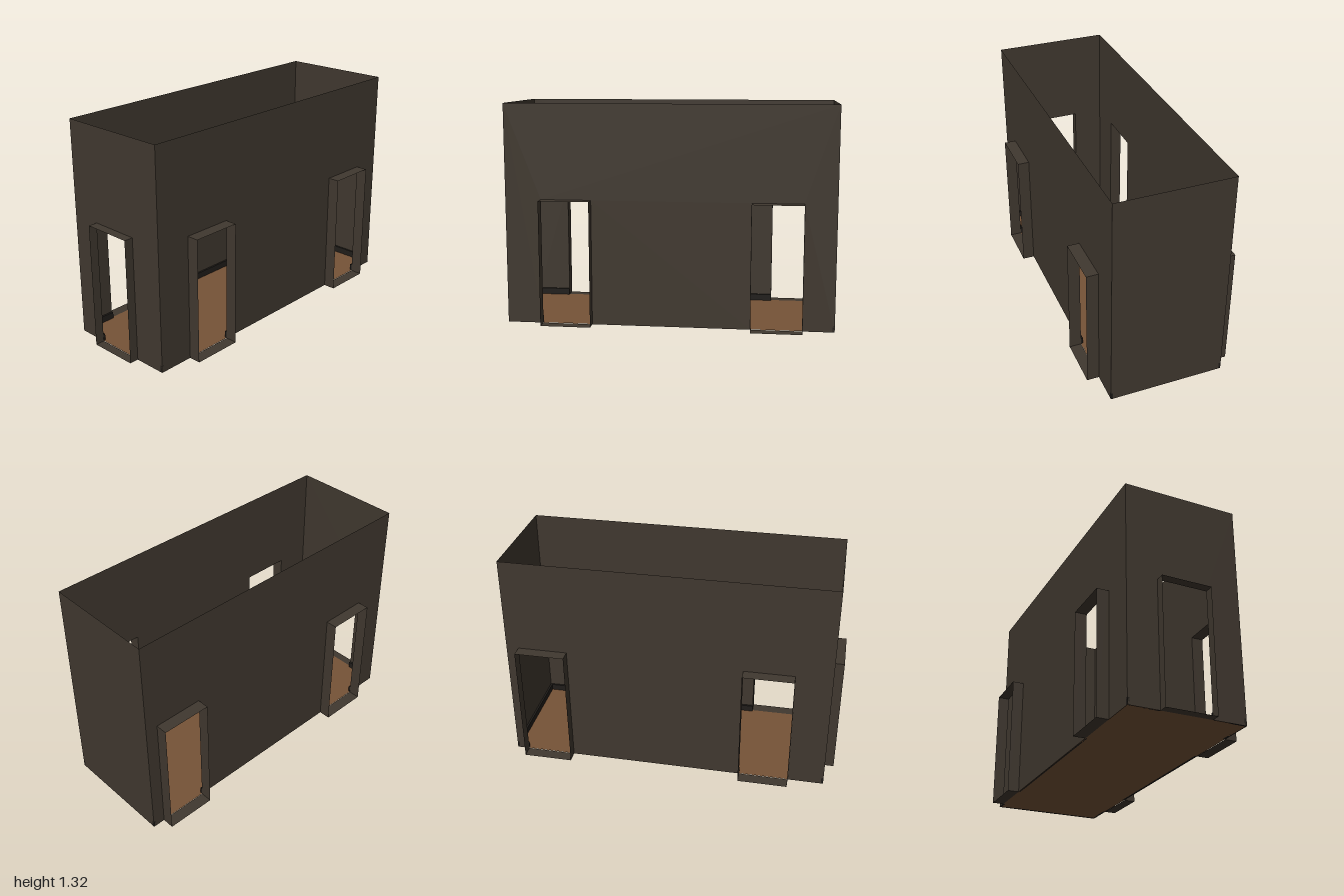
import * as THREE from 'three';

const wallMat = new THREE.MeshStandardMaterial({ color: 0x40382f, side: THREE.DoubleSide });
wallMat.name = 'dark plaster';
const floorMat = new THREE.MeshStandardMaterial({ color: 0x765337, side: THREE.DoubleSide });
floorMat.name = 'brown floor';
const trimMat = new THREE.MeshStandardMaterial({ color: 0x201d1a });
trimMat.name = 'black trim';

const HEIGHT = 1.315, DOOR_H = 0.75, X0 = -0.945, X1 = 1, Z = 0.343;
const SKIRT_H = 0.04, SKIRT_T = 0.012;

function add(parent, name, geo, mat, x = 0, y = 0, z = 0) {
  const mesh = new THREE.Mesh(geo, mat);
  mesh.name = name;
  mesh.position.set(x, y, z);
  parent.add(mesh);
  return mesh;
}

// Open square sleeve standing out from the wall around a doorway
function doorFrame(parent, a, b, dist, depth) {
  const frame = new THREE.Group();
  frame.name = 'doorFrame';
  parent.add(frame);
  const zc = dist + depth / 2;
  for (const x of [a, b]) {
    add(frame, 'doorJamb', new THREE.PlaneGeometry(depth, DOOR_H), wallMat, x, DOOR_H / 2, zc).rotation.y = Math.PI / 2;
  }
  for (const [name, y] of [['doorSill', 0], ['doorHead', DOOR_H]]) {
    add(frame, name, new THREE.PlaneGeometry(b - a, depth), wallMat, (a + b) / 2, y, zc).rotation.x = -Math.PI / 2;
  }
}

// Thin wall facing local +z, running from a to b, with doorways and skirting between them
function wall(name, a, b, dist, angle, doors, depth) {
  const side = new THREE.Group();
  side.name = name;
  side.rotation.y = angle;

  const shape = new THREE.Shape();
  shape.moveTo(a, 0);
  let from = a;
  const skirting = (to) => add(side, 'skirting', new THREE.BoxGeometry(to - from, SKIRT_H, SKIRT_T), trimMat,
    (from + to) / 2, SKIRT_H / 2 + 0.002, dist - SKIRT_T / 2 - 0.001);
  for (const [l, r] of doors) {
    shape.lineTo(l, 0);
    shape.lineTo(l, DOOR_H);
    shape.lineTo(r, DOOR_H);
    shape.lineTo(r, 0);
    skirting(l);
    from = r;
    doorFrame(side, l, r, dist, depth);
  }
  skirting(b);
  shape.lineTo(b, 0);
  shape.lineTo(b, HEIGHT);
  shape.lineTo(a, HEIGHT);
  add(side, 'wallPanel', new THREE.ShapeGeometry(shape), wallMat, 0, 0, dist);
  return side;
}

export function createModel() {
  const room = new THREE.Group();
  room.name = 'room';

  // Floor
  add(room, 'floor', new THREE.PlaneGeometry(X1 - X0, 2 * Z), floorMat, (X0 + X1) / 2, 0.002, 0).rotation.x = -Math.PI / 2;

  // Four walls; doorways are given along each wall from its own left to right
  room.add(
    wall('frontWall', X0, X1, Z, 0, [[-0.73, -0.43], [0.512, 0.812]], 0.072),
    wall('backWall', -X1, -X0, Z, Math.PI, [[-0.925, -0.627], [0.43, 0.73]], 0.072),
    wall('rightWall', -Z, Z, -X0, -Math.PI / 2, [[-0.16, 0.14]], 0.055),
    wall('leftWall', -Z, Z, X1, Math.PI / 2, [], 0),
  );
  return room;
}
